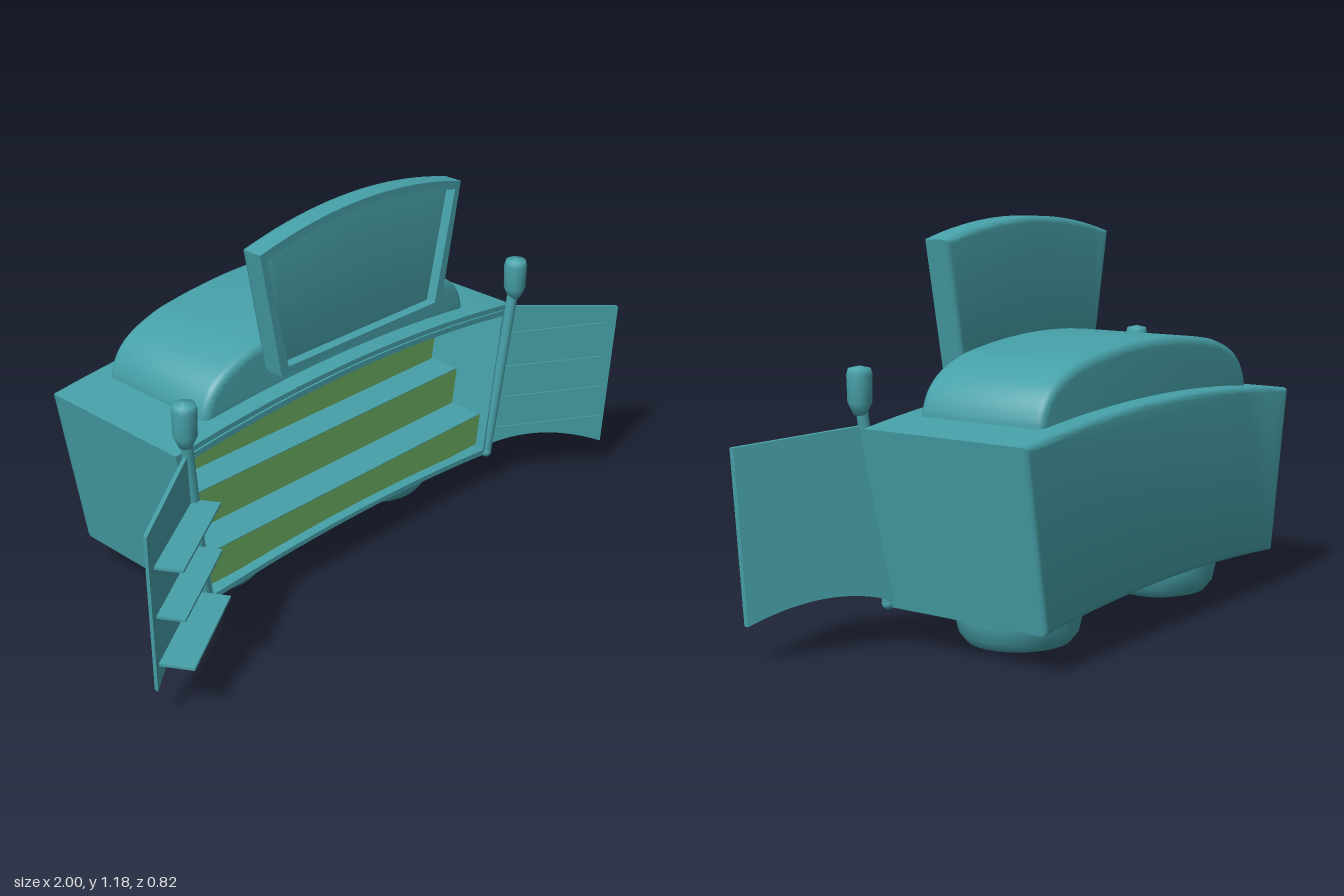
import * as THREE from 'three';
import { toCreasedNormals } from 'three/addons/utils/BufferGeometryUtils.js';

const teal = new THREE.MeshStandardMaterial({ color: 0x46a0a8, side: THREE.DoubleSide });
const green = new THREE.MeshStandardMaterial({ color: 0x6aaa60, side: THREE.DoubleSide });

function add(parent, name, geometry, material = teal) {
  const mesh = new THREE.Mesh(geometry, material);
  mesh.name = name;
  parent.add(mesh);
  return mesh;
}

// Trapezoid with bowed top and bottom edges
function archShape(wBot, wTop, yBot, yBotMid, yTop, yTopMid) {
  const s = new THREE.Shape();
  s.moveTo(-wBot, yBot);
  s.quadraticCurveTo(0, 2 * yBotMid - yBot, wBot, yBot);
  s.lineTo(wTop, yTop);
  s.quadraticCurveTo(0, 2 * yTopMid - yTop, -wTop, yTop);
  s.closePath();
  return s;
}

// Extrusion between two depths, with a bevel that stays inside the outline
function slab(shape, z0, z1, bevel = 0) {
  const geo = new THREE.ExtrudeGeometry(shape, {
    depth: z1 - z0 - 2 * bevel, curveSegments: 20, bevelEnabled: bevel > 0,
    bevelThickness: bevel, bevelSize: bevel, bevelOffset: -bevel, bevelSegments: 3,
  });
  geo.translate(0, 0, z0 + bevel);
  return toCreasedNormals(geo, 0.6);
}

// Open-fronted case: hollow rim plus a rounded back panel
function openCase(parent, name, outer, inner, z0, z1, back, bevel) {
  add(parent, name + 'Back', slab(outer, z0, z0 + back, bevel));
  const rim = outer.clone();
  rim.holes.push(inner);
  add(parent, name + 'Rim', slab(rim, z0 + bevel, z1));
}

export function createModel() {
  const model = new THREE.Group();
  model.name = 'marketStall';

  // Body
  openCase(model, 'body',
    archShape(0.62, 0.71, 0.115, 0.145, 0.63, 0.68),
    archShape(0.597, 0.665, 0.14, 0.165, 0.602, 0.648),
    -0.425, 0.12, 0.045, 0.018);

  // Raised lip around the counter opening
  const lip = archShape(0.612, 0.683, 0.127, 0.155, 0.617, 0.665);
  lip.holes.push(archShape(0.597, 0.665, 0.14, 0.165, 0.602, 0.648));
  add(model, 'openingLip', slab(lip, 0.11, 0.126));

  // Stepped display with green risers
  [[0.15, 0.255, 0.09], [0.255, 0.375, -0.03], [0.375, 0.5, -0.14]].forEach(([y0, y1, z]) => {
    const w = (y) => 0.61 + (y - 0.14) * 0.15;
    const tier = archShape(w(y0), w(y1), y0, y0, y1, y1);
    add(model, 'displayStep', slab(tier, -0.39, z));
    add(model, 'displayRiser', new THREE.ShapeGeometry(tier).translate(0, 0, z + 0.003), green);
  });

  // Domed roof
  const dome = new THREE.Shape();
  dome.moveTo(-0.55, 0.62);
  dome.lineTo(-0.55, 0.66);
  dome.bezierCurveTo(-0.53, 0.75, -0.47, 0.78, -0.36, 0.812);
  dome.quadraticCurveTo(0, 0.878, 0.36, 0.812);
  dome.bezierCurveTo(0.47, 0.78, 0.53, 0.75, 0.55, 0.66);
  dome.lineTo(0.55, 0.62);
  dome.closePath();
  add(model, 'roofDome', slab(dome, -0.36, 0.06, 0.025));

  // Framed sign board
  openCase(model, 'sign',
    archShape(0.335, 0.41, 0.745, 0.745, 1.13, 1.185),
    archShape(0.308, 0.385, 0.768, 0.768, 1.11, 1.162),
    0.068, 0.145, 0.045, 0.018);

  // Round feet
  const footProfile = [[0, 0], [0.11, 0], [0.15, 0.012], [0.172, 0.04], [0.183, 0.09], [0.183, 0.19], [0, 0.19]]
    .map(([r, y]) => new THREE.Vector2(r, y));

  // Knob on top of each post
  const knobProfile = [[0, 0.66], [0.018, 0.665], [0.034, 0.7], [0.036, 0.775], [0.031, 0.793], [0, 0.8]]
    .map(([r, y]) => new THREE.Vector2(r, y));

  const slope = 0.62;
  const doorZ = (x) => 0.14 + (Math.abs(x) - 0.69) * slope;

  for (const s of [-1, 1]) {
    add(model, 'foot', toCreasedNormals(new THREE.LatheGeometry(footProfile, 28), 0.7))
      .position.set(s * 0.37, 0, -0.15);

    // Leaning post
    const post = new THREE.LineCurve3(
      new THREE.Vector3(s * 0.62, 0.125, 0.12), new THREE.Vector3(s * 0.692, 0.69, 0.143));
    add(model, 'post', new THREE.TubeGeometry(post, 1, 0.017, 12));
    add(model, 'postFoot', new THREE.SphereGeometry(0.018, 14, 10)).position.copy(post.v1);
    add(model, 'postKnob', new THREE.LatheGeometry(knobProfile, 18)).position.set(s * 0.695, 0, 0.145);

    // Open door, swung outward by shearing the panel along its width
    const panel = new THREE.Shape();
    panel.moveTo(s * 0.68, 0.637);
    panel.lineTo(s * 0.998, 0.597);
    panel.lineTo(s * 0.975, 0.105);
    panel.quadraticCurveTo(s * 0.78, 0.205, s * 0.622, 0.135);
    panel.closePath();
    const door = slab(panel, -0.007, 0.007);
    const p = door.attributes.position;
    for (let i = 0; i < p.count; i++) p.setZ(i, p.getZ(i) + doorZ(p.getX(i)));
    add(model, 'door', toCreasedNormals(door, 0.6));

    // Door fittings: shelves on one door, thin slats on the other
    const fittings = new THREE.Group();
    fittings.name = s < 0 ? 'doorShelves' : 'doorSlats';
    fittings.position.set(s * 0.815, 0, doorZ(0.815));
    fittings.rotation.y = -s * Math.atan(slope);
    model.add(fittings);
    const rows = s < 0
      ? [[0.18, 0.105], [0.33, 0.085], [0.48, 0.085]]
      : [[0.2, 0.01], [0.31, 0.01], [0.42, 0.01], [0.54, 0.01]];
    for (const [y, depth] of rows) {
      add(fittings, s < 0 ? 'doorShelf' : 'doorSlat', new THREE.BoxGeometry(0.35, 0.008, depth))
        .position.set(0, y, depth / 2);
    }
  }
  return model;
}
